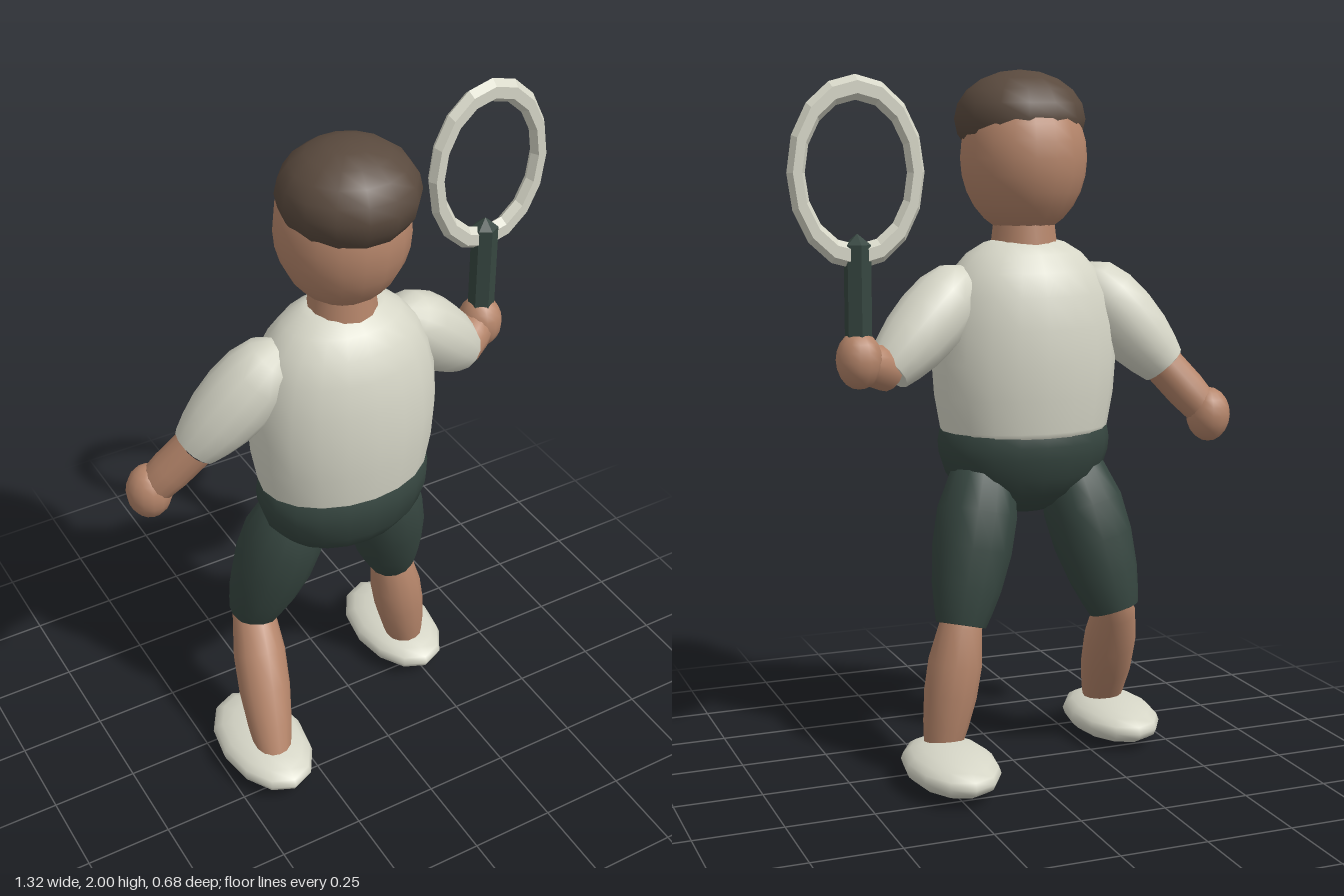
import * as THREE from 'three';

const mat = (name, color, flatShading = false) => {
  const m = new THREE.MeshStandardMaterial({ color, flatShading });
  m.name = name;
  return m;
};

export function createModel() {
  const cloth = mat('offWhite', 0xd6d6c7);
  const skin = mat('skin', 0xb5856a);
  const dark = mat('darkGreen', 0x364640);
  const hairMat = mat('brownHair', 0x5a4a3e);
  const group = new THREE.Group();

  const add = (name, geometry, material, pos = [0, 0, 0], scale = [1, 1, 1]) => {
    const mesh = new THREE.Mesh(geometry, material);
    mesh.name = name;
    mesh.position.set(...pos);
    mesh.scale.set(...scale);
    group.add(mesh);
    return mesh;
  };
  const ellipsoid = (name, material, pos, radii, w = 16, h = 12) =>
    add(name, new THREE.SphereGeometry(1, w, h), material, pos, radii);
  const lathe = (pts, sides) =>
    new THREE.LatheGeometry(pts.map(([r, y]) => new THREE.Vector2(r, y)), sides);

  // Rounded limb from a to b; profile is [fraction along, radius], with a flat cap at b
  const limb = (name, material, a, b, profile) => {
    const from = new THREE.Vector3(...a);
    const dir = new THREE.Vector3(...b).sub(from);
    const len = dir.length();
    const pts = profile.map(([t, r]) => [r, t * len]);
    const end = pts[pts.length - 1];
    pts.push([end[0] * 0.97, end[1] + 0.001], [0, end[1] + 0.002]);
    const mesh = add(name, lathe(pts, 14), material, a);
    mesh.quaternion.setFromUnitVectors(new THREE.Vector3(0, 1, 0), dir.normalize());
  };

  // Head, hair and neck
  ellipsoid('head', skin, [-0.067, 1.752, 0.087], [0.181, 0.218, 0.181], 18, 14);
  ellipsoid('hair', hairMat, [-0.066, 1.862, 0.116], [0.188, 0.138, 0.186], 14, 10);
  add('neck', new THREE.CylinderGeometry(0.085, 0.1, 0.12, 14), skin, [-0.067, 1.54, 0.085]);

  // Shirt body, flattened front to back
  add('shirt', lathe([
    [0, 0.96], [0.245, 0.962], [0.251, 0.985], [0.268, 1.08], [0.275, 1.18], [0.268, 1.28],
    [0.248, 1.37], [0.215, 1.435], [0.17, 1.485], [0.12, 1.515], [0.09, 1.523], [0, 1.523],
  ], 20), cloth, [-0.067, 0, 0.083], [1, 1, 0.74]);

  // Seat of the shorts: bowl with a flat top at the waist
  add('shortsSeat', lathe([
    [0, 0.73], [0.07, 0.737], [0.13, 0.76], [0.19, 0.798], [0.235, 0.85],
    [0.255, 0.91], [0.258, 0.945], [0.252, 0.98], [0.245, 0.984], [0, 0.985],
  ], 20), dark, [-0.067, 0, 0.085], [1, 1, 0.73]);

  // Limbs and feet
  const sleeve = [[-0.22, 0], [-0.18, 0.042], [-0.06, 0.08], [0.15, 0.1], [0.4, 0.104],
    [0.65, 0.097], [0.85, 0.083], [1, 0.068]];
  const forearm = [[0, 0.06], [0.5, 0.06], [0.85, 0.054], [1, 0.045]];
  const thigh = [[-0.16, 0], [-0.12, 0.05], [0, 0.095], [0.25, 0.118], [0.5, 0.117],
    [0.75, 0.102], [0.9, 0.086], [1, 0.073]];
  const shin = [[-0.12, 0.04], [0, 0.062], [0.3, 0.078], [0.55, 0.077], [0.8, 0.066], [1, 0.052]];
  const sides = [
    { n: 'right', shoulder: [-0.28, 1.385, 0.07], elbow: [-0.48, 1.15, 0.01], hand: [-0.6, 1.005, -0.047],
      hip: [-0.205, 0.85, 0.05], knee: [-0.305, 0.44, -0.04], ankle: [-0.37, 0.08, 0.2], foot: [-0.37, 0.06, 0.123] },
    { n: 'left', shoulder: [0.145, 1.385, 0.07], elbow: [0.37, 1.175, 0], hand: [0.467, 1.213, -0.047],
      hip: [0.075, 0.85, 0.05], knee: [0.175, 0.44, -0.04], ankle: [0.237, 0.08, -0.045], foot: [0.239, 0.06, -0.126] },
  ];
  for (const s of sides) {
    limb(s.n + 'Sleeve', cloth, s.shoulder, s.elbow, sleeve);
    limb(s.n + 'Forearm', skin, s.elbow, s.hand, forearm);
    ellipsoid(s.n + 'Hand', skin, s.hand, [0.064, 0.08, 0.066], 14, 10);
    limb(s.n + 'ShortsLeg', dark, s.hip, s.knee, thigh);
    limb(s.n + 'Shin', skin, s.knee, s.ankle, shin);
    ellipsoid(s.n + 'Shoe', cloth, s.foot, [0.13, 0.06, 0.216], 12, 10);
  }

  // Racket: six-sided grip with pointed ends and an oval hoop
  const faceted = (g) => {
    const f = g.toNonIndexed();
    f.computeVertexNormals();
    return f;
  };
  add('racketGrip', faceted(lathe([[0, 1.13], [0.038, 1.16], [0.038, 1.525], [0, 1.555]], 6)),
    dark, [0.467, 0, -0.045]);
  add('racketHoop', faceted(new THREE.TorusGeometry(0.1665, 0.025, 6, 16)),
    cloth, [0.467, 1.717, -0.047], [1, 1.35, 1]);

  return group;
}
